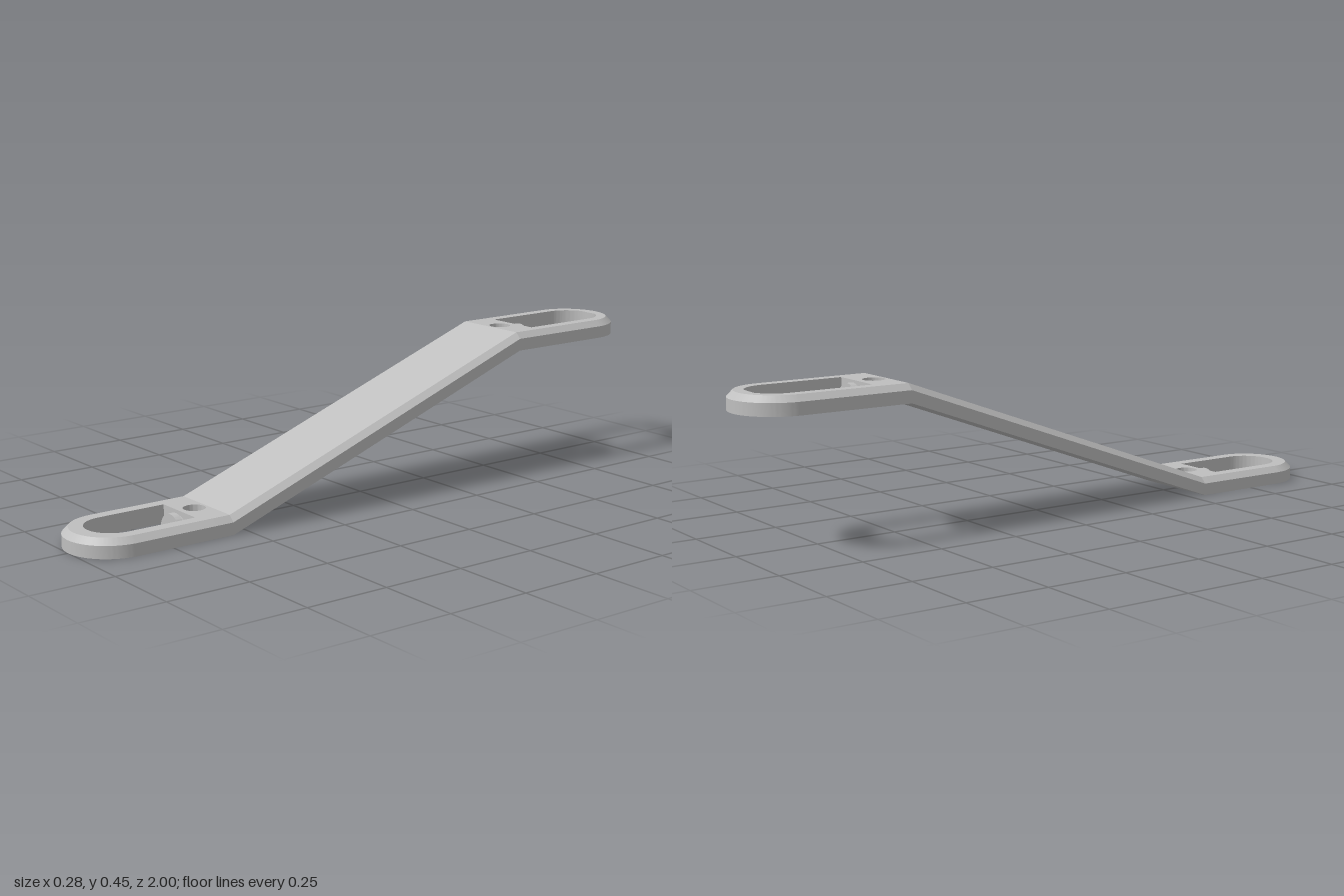
import * as THREE from 'three';
import { toCreasedNormals } from 'three/addons/utils/BufferGeometryUtils.js';

const HALF = 0.138, THICK = 0.055, EDGE = 0.037, CHAMFER = 0.018;
const RISE = 0.393, FRONT_KINK = 0.555, BACK_KINK = -0.52;

export function createModel() {
  const model = new THREE.Group();
  const grey = new THREE.MeshStandardMaterial({ color: 0xbfbfbf });
  grey.name = 'light grey';

  const add = (parent, name, geometry) => {
    const mesh = new THREE.Mesh(toCreasedNormals(geometry, 0.5), grey);
    mesh.name = name;
    parent.add(mesh);
    return mesh;
  };

  // U-shaped outline: straight inner edge, rounded outer end
  const roundedEnd = (path, half, start, centre) => {
    path.moveTo(-half, start);
    path.lineTo(half, start);
    path.lineTo(half, centre);
    path.absarc(0, centre, half, 0, Math.PI, false);
    path.closePath();
    return path;
  };

  // Flat end plate with slot and round hole, chamfered along its top outer edge
  const plateGeometry = ({ kink, hole, slotStart, slotEnd, slotHalf }) => {
    const centre = 1 - HALF;
    const shape = roundedEnd(new THREE.Shape(), HALF, kink, centre);
    const round = new THREE.Path();
    round.absarc(0, hole, 0.033, 0, Math.PI * 2, true);
    shape.holes.push(roundedEnd(new THREE.Path(), slotHalf, slotStart, slotEnd - slotHalf), round);
    const g = new THREE.ExtrudeGeometry(shape, { depth: THICK, steps: 2, bevelEnabled: false, curveSegments: 32 });
    const p = g.attributes.position;
    for (let i = 0; i < p.count; i++) {
      const x = p.getX(i), s = p.getY(i), z = p.getZ(i);
      if (z > 0.01 && z < THICK - 0.01) p.setZ(i, EDGE);
      const past = Math.max(0, s - centre);
      if (z > THICK - 0.01 && Math.hypot(x, past) > HALF - 0.005) {
        const k = (HALF - CHAMFER) / HALF;
        p.setX(i, x * k);
        if (past > 0) p.setY(i, centre + past * k);
      }
    }
    return g.rotateX(-Math.PI / 2);
  };

  // Half disc lying flat side down, running along z
  const halfDisc = (radius, length, z) => {
    const s = new THREE.Shape();
    s.absarc(0, 0, radius, 0, Math.PI, false);
    s.closePath();
    return new THREE.ExtrudeGeometry(s, { depth: length, bevelEnabled: false, curveSegments: 24 }).translate(0, 0.001, z);
  };

  const makeEnd = (name, spec) => {
    const end = new THREE.Group();
    end.name = name;
    add(end, 'slottedPlate', plateGeometry(spec));
    add(end, 'studNeck', halfDisc(0.04, 0.02, -spec.slotStart - 0.015));
    add(end, 'studHead', halfDisc(0.05, 0.019, -spec.slotStart - 0.031));
    model.add(end);
    return end;
  };

  makeEnd('frontEnd', { kink: FRONT_KINK, hole: 0.595, slotStart: 0.645, slotEnd: 0.94, slotHalf: 0.083 })
    .rotation.y = Math.PI;
  makeEnd('backEnd', { kink: -BACK_KINK, hole: 0.56, slotStart: 0.615, slotEnd: 0.953, slotHalf: 0.087 })
    .position.y = RISE;

  // Sloping strap: chamfered cross-section sheared upward toward the back
  const length = FRONT_KINK - BACK_KINK, top = HALF - CHAMFER;
  const section = new THREE.Shape([
    [-HALF, 0], [HALF, 0], [HALF, EDGE], [top, THICK], [-top, THICK], [-HALF, EDGE],
  ].map(([x, y]) => new THREE.Vector2(x, y)));
  const strap = new THREE.ExtrudeGeometry(section, { depth: length, bevelEnabled: false }).translate(0, 0, BACK_KINK);
  const p = strap.attributes.position;
  for (let i = 0; i < p.count; i++) p.setY(i, p.getY(i) + RISE * (FRONT_KINK - p.getZ(i)) / length);
  add(model, 'slopingStrap', strap);

  return model;
}
